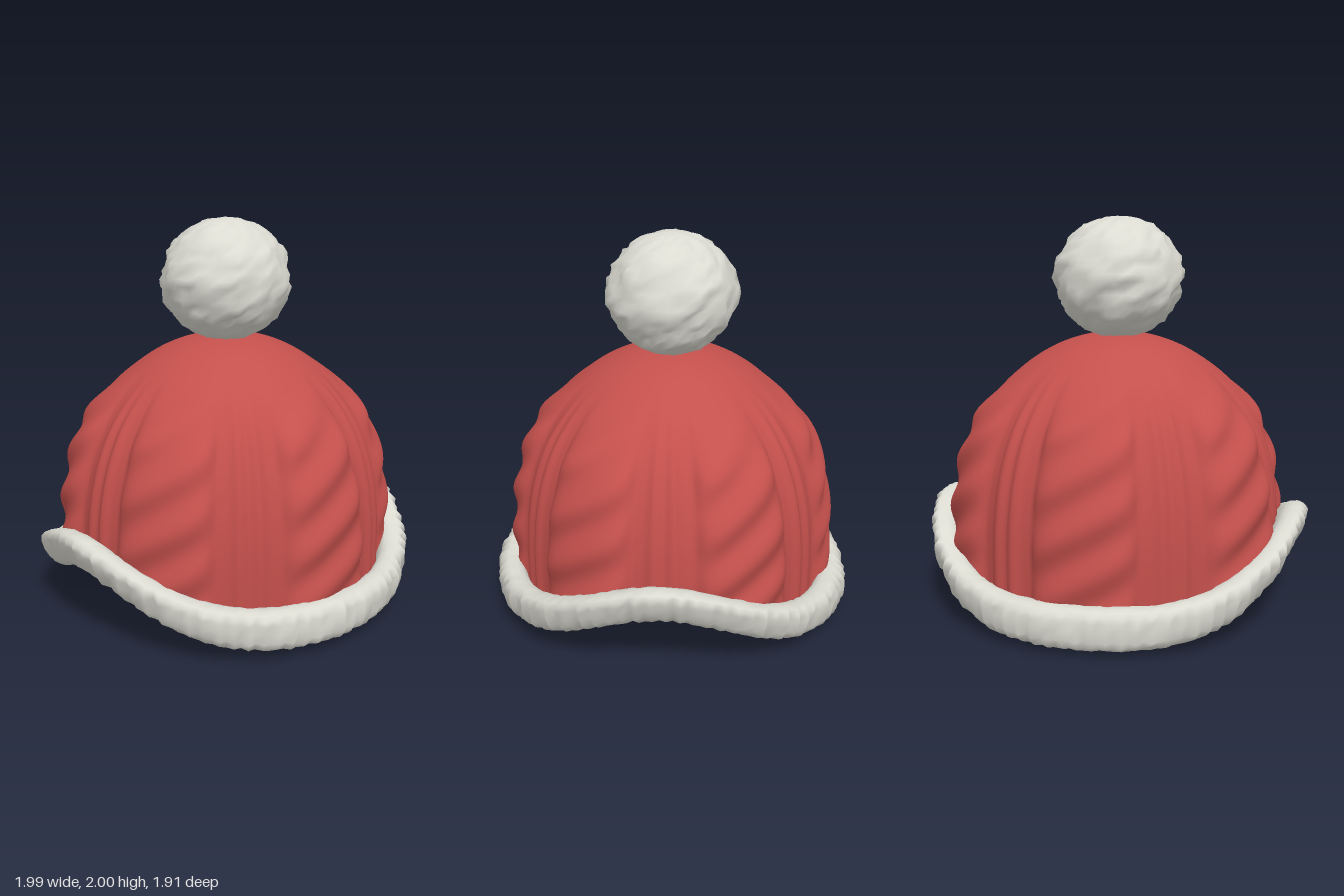
import * as THREE from 'three';

const { sin, cos, abs, PI, pow, sqrt, sign, exp, min, max } = Math;
const smooth = THREE.MathUtils.smoothstep;

// repeatable noise in the range -1..1
function hash(i, j) {
  const s = sin(i * 127.1 + j * 311.7) * 43758.5453;
  return (s - Math.floor(s)) * 2 - 1;
}

// surface closed around u; point(i, j) gives [x, y, z]; wrapV also closes it along v
function ringSurface(nu, nv, point, wrapV = false) {
  const pos = [], index = [];
  const rows = wrapV ? nv : nv + 1;
  for (let j = 0; j < rows; j++) for (let i = 0; i < nu; i++) pos.push(...point(i, j));
  for (let j = 0; j < nv; j++) {
    for (let i = 0; i < nu; i++) {
      const i2 = (i + 1) % nu, j2 = (j + 1) % rows;
      const a = j * nu + i, b = j * nu + i2, c = j2 * nu + i2, d = j2 * nu + i;
      index.push(a, b, c, a, c, d);
    }
  }
  const g = new THREE.BufferGeometry();
  g.setAttribute('position', new THREE.Float32BufferAttribute(pos, 3));
  g.setIndex(index);
  g.computeVertexNormals();
  return g;
}

// height of the brim centre line: low at front and back, high at the sides
const brimY = (th) => 0.43 - 0.29 * smooth(abs(cos(th)), 0, 1) + 0.012 * cos(th);
const hemY = (th) => brimY(th) - 0.128 + 0.022 * pow(sin(th), 2);

// plain dome radius at a height
function domeRadius(y) {
  const q = min(1, max(0, (y - 0.3) / 1.11));
  return 0.805 * sqrt(1 - pow(q, 2.55));
}

// knit relief: six twisted cables with a double rib between neighbours
function knit(th, y) {
  const deg = (th * 180) / PI;
  const a = ((deg + 30) % 60) - 30;
  const u = a / 18;
  const cable = abs(u) < 1 ? pow(1 - pow(abs(u), 4), 0.7) : 0;
  const twist = 0.5 + 0.5 * sin((2 * PI * (y - 0.15 * u)) / 0.26);
  const b = 30 - abs(a);
  const rib = 0.022 * exp(-pow((b - 3.5) / 2.2, 2));
  const fade = 1 - smooth(y, 0.95, 1.3);
  return (cable * (0.048 + 0.03 * twist) + rib) * fade;
}

function crownGeometry() {
  const nu = 288, nv = 80;
  return ringSurface(nu, nv, (i, j) => {
    const th = (i / nu) * 2 * PI;
    const y0 = hemY(th) + 0.05;
    const y = y0 + (1.41 - y0) * sin((j / nv) * PI / 2);
    // relief flattens out under the brim
    const r = domeRadius(y) + knit(th, y) * smooth(y - y0, 0, 0.1);
    return [1.02 * r * sin(th), y, 0.98 * r * cos(th)];
  });
}

// turned-in hem and a lining folded along the side-to-side axis,
// flat inside a diamond and steeper from there out to the hem
function liningGeometry() {
  const nu = 96;
  const hem = [[0.75, 0], [0.785, 0.01], [0.805, 0.05]];
  return ringSurface(nu, 5, (i, j) => {
    const th = (i / nu) * 2 * PI;
    const s = sin(th), c = cos(th);
    const diamond = min(0.72, 0.75 / (abs(s) + abs(c)));
    if (j < 3) {
      const r = (diamond * j) / 2;
      const slope = (0.325 - hemY(c > 0 ? 0 : PI)) / 0.75;
      return [r * s, 0.325 - slope * r * abs(c), r * c];
    }
    const [r, lift] = hem[j - 3];
    return [1.02 * r * s, hemY(th) + lift, 0.98 * r * c];
  });
}

// fluffy brim: rounded section leaning outwards at the sides, ragged outside
function brimGeometry() {
  const nu = 170, nv = 18;
  return ringSurface(nu, nv, (i, j) => {
    const th = (i / nu) * 2 * PI;
    const ph = (j / nv) * 2 * PI;
    const c = cos(ph), s = sin(ph);
    const side = sin(th) * sin(th);
    const v = sign(s) * pow(abs(s), 0.75);
    const tuft = 0.016 * (i % 2 ? 1 : -1) * (0.6 + 0.6 * hash(i, 3)) + 0.006 * hash(i, j);
    const out = 0.072 * sign(c) * pow(abs(c), 0.75) + 0.045 * side * v
      + tuft * max(0, c) + 0.004 * hash(j, 9);
    const y = brimY(th) + 0.103 * v + 0.004 * hash(i, j + 40);
    return [(0.895 + out) * sin(th), y, (0.868 + out) * cos(th)];
  }, true);
}

// bumpy ball, smoother near its poles
function pompomGeometry() {
  const nu = 40, nv = 28;
  return ringSurface(nu, nv, (i, j) => {
    const th = (i / nu) * 2 * PI;
    const ph = (j / nv) * PI;
    const ring = sin(ph);
    const bump = (0.016 * hash(i, j + 70) + 0.007 * hash(i >> 1, (j >> 1) + 20)) * ring;
    const r = 0.327 + bump;
    return [r * ring * sin(th), 1.69 - (0.31 + bump) * cos(ph), r * ring * cos(th)];
  });
}

export function createModel() {
  const red = new THREE.MeshStandardMaterial({ color: 0xc4504c });
  red.name = 'redWool';
  const white = new THREE.MeshStandardMaterial({ color: 0xdcdbd2 });
  white.name = 'whiteFluff';

  const hat = new THREE.Group();
  hat.name = 'knittedHat';
  const add = (name, geometry, material) => {
    const mesh = new THREE.Mesh(geometry, material);
    mesh.name = name;
    hat.add(mesh);
  };
  add('crown', crownGeometry(), red);
  add('lining', liningGeometry(), red);
  add('brim', brimGeometry(), white);
  add('pompom', pompomGeometry(), white);
  return hat;
}
